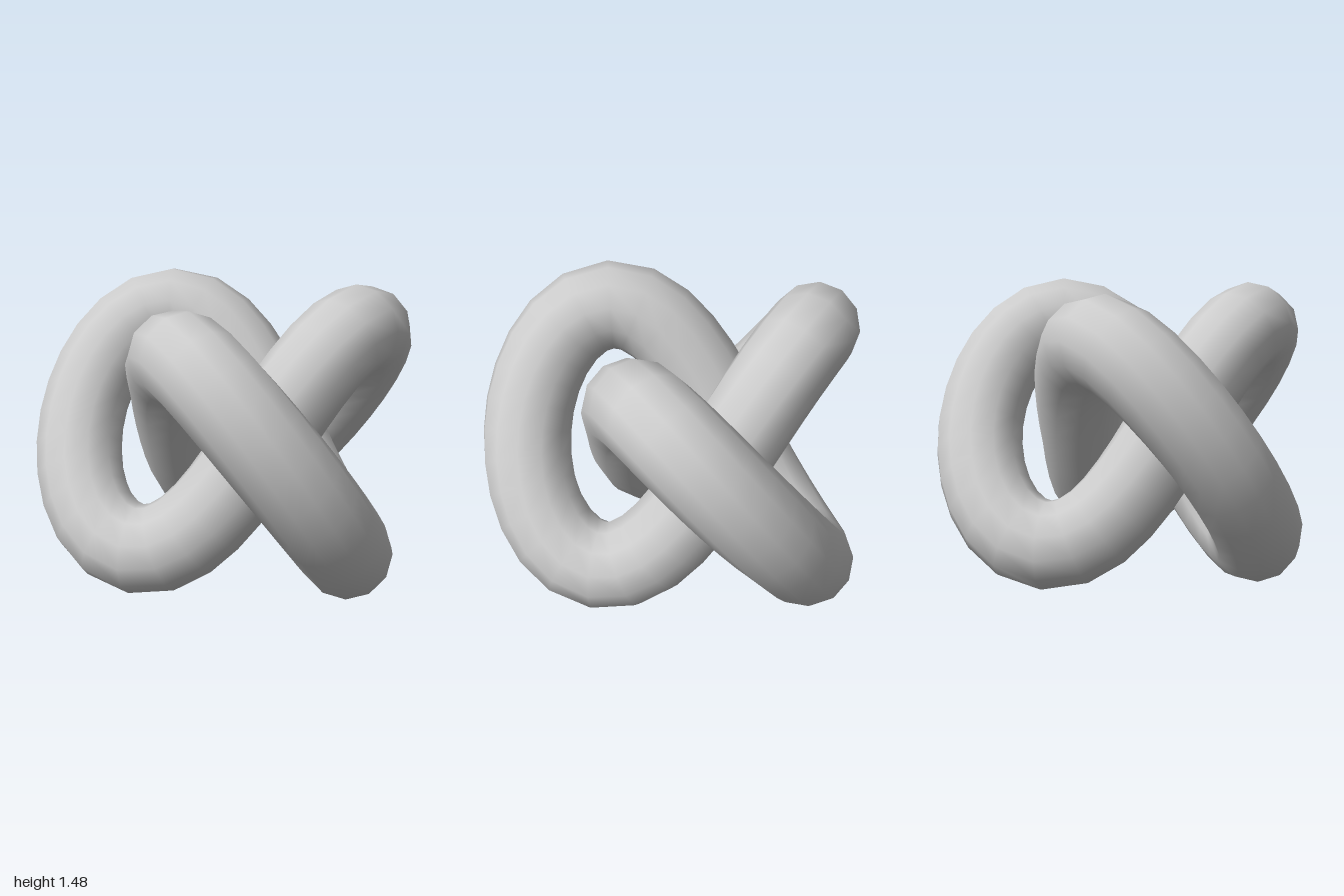
import * as THREE from 'three';

// Closed three-lobed knot winding twice around the vertical axis
class KnotCurve extends THREE.Curve {
  getPoint(u, target = new THREE.Vector3()) {
    const t = u * Math.PI * 2;
    const A = 0.565, B = 0.217, C = 0.05;
    return target.set(
      0.112 - (A * Math.cos(2 * t) + B * Math.cos(t) + C * Math.cos(5 * t)),
      0.74 + 0.518 * Math.sin(3 * t),
      -(A * Math.sin(2 * t) - B * Math.sin(t) + C * Math.sin(5 * t))
    );
  }
}

export function createModel() {
  const group = new THREE.Group();
  group.name = 'trefoilKnot';

  // Round tube swept along the knot
  const material = new THREE.MeshStandardMaterial({ color: 0xcccccc });
  const tube = new THREE.Mesh(new THREE.TubeGeometry(new KnotCurve(), 72, 0.224, 12, true), material);
  tube.name = 'knotTube';
  group.add(tube);

  return group;
}
